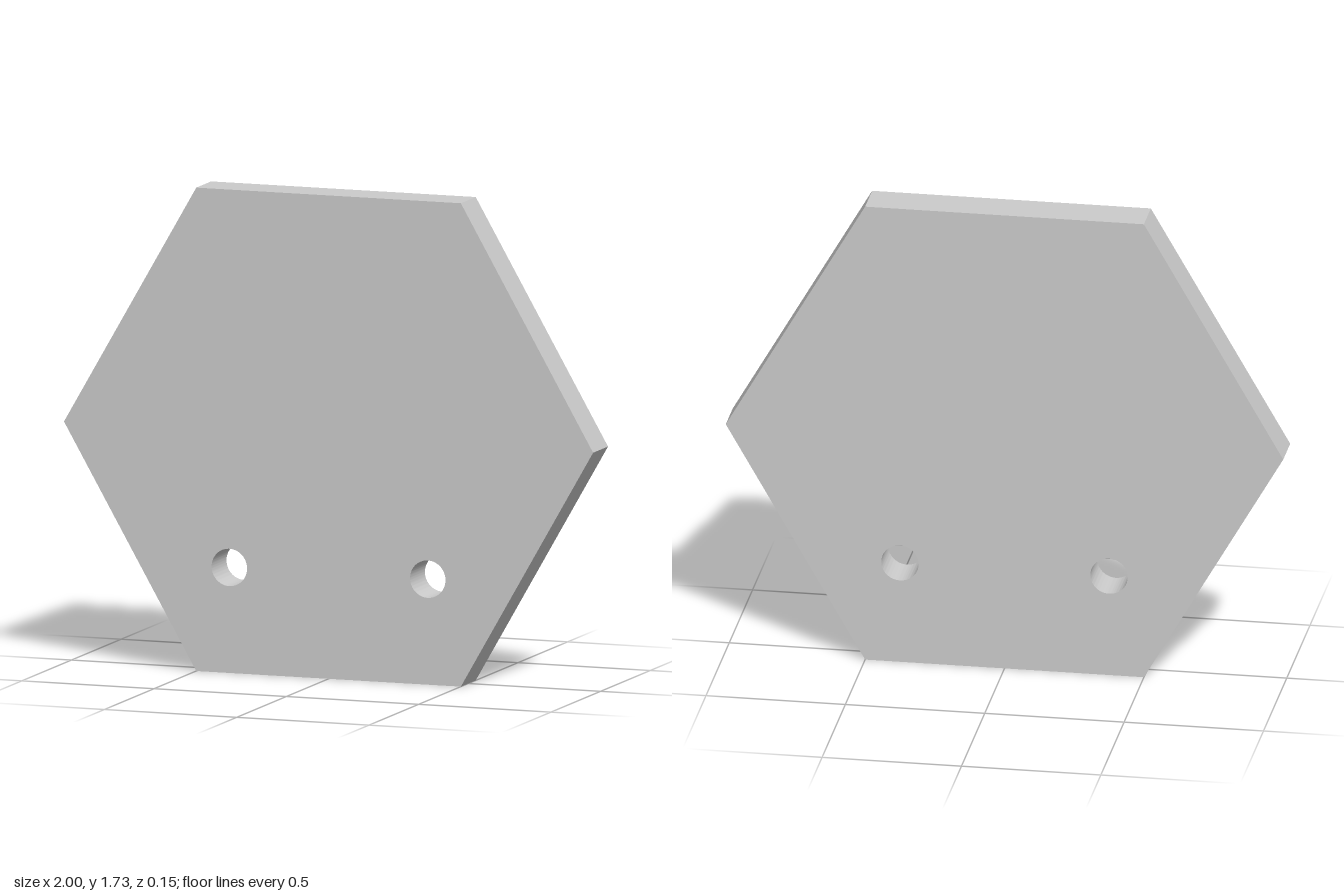
import * as THREE from 'three';
import { toCreasedNormals } from 'three/addons/utils/BufferGeometryUtils.js';

const RADIUS = 1;
const THICKNESS = 0.15;
const HOLE = { x: 0.375, y: 0.378, radius: 0.067 };

export function createModel() {
  const group = new THREE.Group();
  group.name = 'hexagonalPlate';

  // Hexagon outline with a flat edge at the bottom
  const centreY = RADIUS * Math.sin(Math.PI / 3);
  const corners = [];
  for (let i = 0; i < 6; i++) {
    const a = (i * Math.PI) / 3;
    corners.push(new THREE.Vector2(RADIUS * Math.cos(a), centreY + RADIUS * Math.sin(a)));
  }
  const outline = new THREE.Shape(corners);

  // Pair of mirrored round through-holes
  for (const side of [-1, 1]) {
    outline.holes.push(new THREE.Path().absarc(side * HOLE.x, HOLE.y, HOLE.radius, 0, Math.PI * 2, true));
  }

  // Plate, with smooth hole walls and sharp outer edges
  const geometry = new THREE.ExtrudeGeometry(outline, { depth: THICKNESS, bevelEnabled: false, curveSegments: 48 });
  geometry.translate(0, 0, -THICKNESS / 2);
  const plate = new THREE.Mesh(
    toCreasedNormals(geometry, Math.PI / 6),
    new THREE.MeshStandardMaterial({ color: 0xcccccc })
  );
  plate.name = 'plate';
  group.add(plate);
  return group;
}
